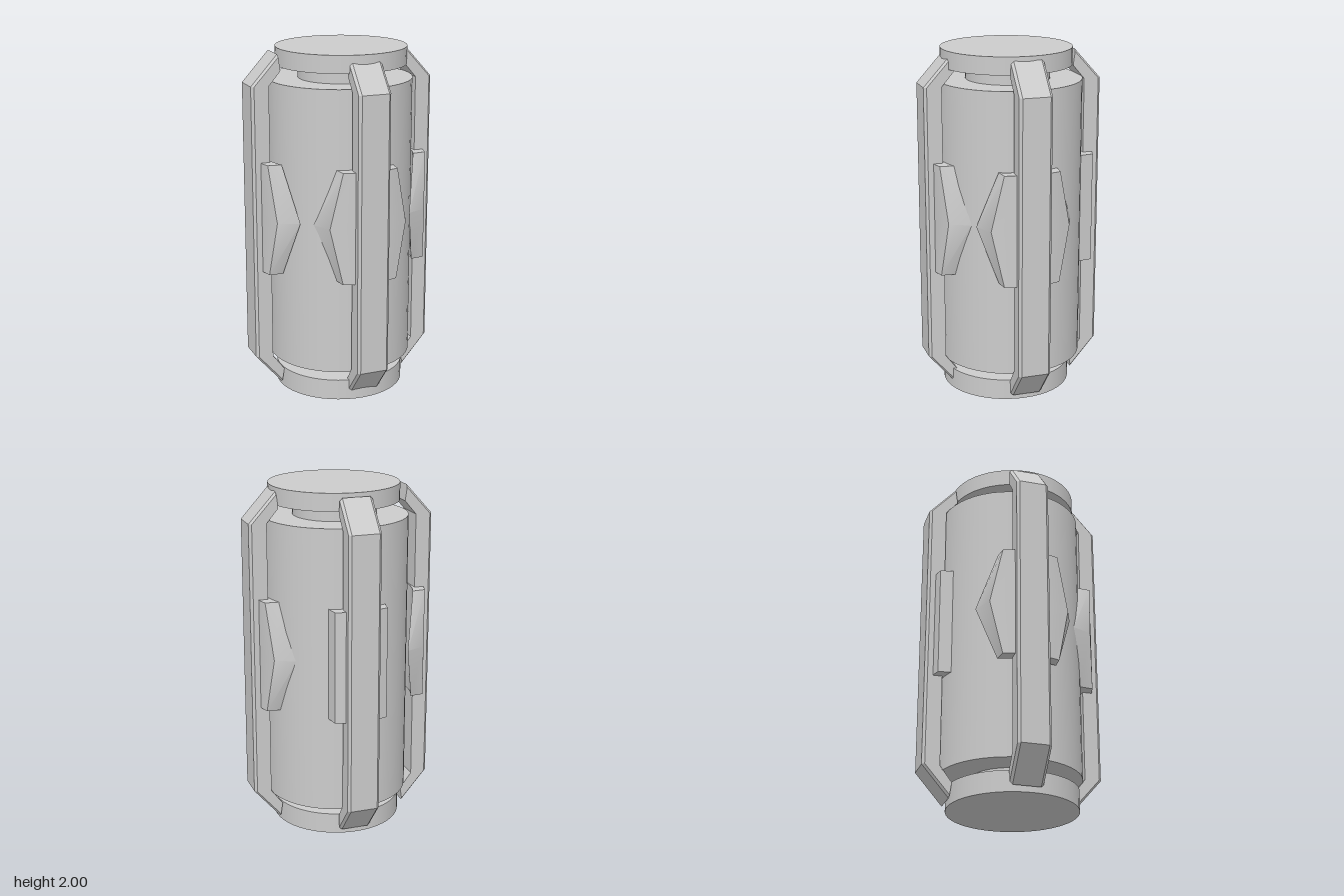
import * as THREE from 'three';
import { toCreasedNormals } from 'three/addons/utils/BufferGeometryUtils.js';

const material = new THREE.MeshStandardMaterial({ color: 0xcccccc });

// Skin over closed cross-sections listed bottom to top; point i faces point n-1-i.
function loft(sections, crease) {
  const pos = [];
  const quad = (a, b, c, d) => [a, b, c, a, c, d].forEach(p => pos.push(...p));
  const n = sections[0].length;
  for (let k = 0; k < sections.length - 1; k++) {
    const lo = sections[k], hi = sections[k + 1];
    for (let i = 0; i < n; i++) {
      const j = (i + 1) % n;
      quad(lo[i], lo[j], hi[j], hi[i]);
    }
  }
  const bottom = sections[0], top = sections[sections.length - 1];
  for (let i = 0; i < n / 2 - 1; i++) {
    quad(top[i], top[i + 1], top[n - 2 - i], top[n - 1 - i]);
    quad(bottom[n - 1 - i], bottom[n - 2 - i], bottom[i + 1], bottom[i]);
  }
  const geometry = new THREE.BufferGeometry();
  geometry.setAttribute('position', new THREE.Float32BufferAttribute(pos, 3));
  return toCreasedNormals(geometry, crease);
}

// Bar bent inward at both ends, outer corners chamfered. Rows: outer z, y, inner z, y.
function barGeometry() {
  const w = 0.094, c = 0.015;
  const stations = [
    [0.375, 0.03, 0.362, 0.115],
    [0.53, 0.21, 0.43, 0.205],
    [0.53, 1.805, 0.43, 1.805],
    [0.375, 1.977, 0.362, 1.885],
  ];
  return loft(stations.map(([zo, yo, zi, yi]) => {
    const t = c / Math.hypot(zo - zi, yo - yi);
    const zc = zo + (zi - zo) * t, yc = yo + (yi - yo) * t;
    return [[-w, yi, zi], [-w, yc, zc], [-w + c, yo, zo],
      [w - c, yo, zo], [w, yc, zc], [w, yi, zi]];
  }), 0.3);
}

// Curved plate; half angles in degrees at its ends and at mid height.
function plateGeometry(endOuter, endInner, midOuter, midInner) {
  const steps = 8, ro = 0.493, ri = 0.423;
  const section = (y, outer, inner) => {
    const points = [];
    const add = (r, deg) => {
      const a = THREE.MathUtils.degToRad(deg);
      points.push([r * Math.sin(a), y, r * Math.cos(a)]);
    };
    for (let i = 0; i <= steps; i++) add(ro, outer * (2 * i / steps - 1));
    for (let i = steps; i >= 0; i--) add(ri, inner * (2 * i / steps - 1));
    return points;
  };
  return loft([section(0.735, endOuter, endInner), section(1.055, midOuter, midInner),
    section(1.375, endOuter, endInner)], 0.5);
}

export function createModel() {
  const model = new THREE.Group();
  const add = (name, geometry, parent = model) => {
    const mesh = new THREE.Mesh(geometry, material);
    mesh.name = name;
    parent.add(mesh);
    return mesh;
  };

  // Stacked round core: name, radius, bottom, top, centre x and z
  const discs = [
    ['bottomCap', 0.373, 0, 0.12, 0, 0.014],
    ['bottomNeck', 0.24, 0.11, 0.19, 0.005, 0.005],
    ['body', 0.414, 0.18, 1.82, 0.01, -0.004],
    ['topNeck', 0.24, 1.81, 1.91, 0.01, 0.005],
    ['topCap', 0.373, 1.9, 2, 0.012, 0.014],
  ];
  for (const [name, r, y0, y1, x, z] of discs) {
    add(name, new THREE.CylinderGeometry(r, r, y1 - y0, 48)).position.set(x, (y0 + y1) / 2, z);
  }

  // Four guard bars, each with a plate behind it; the rear plate is straight-sided
  const bar = barGeometry();
  const pointedPlate = plateGeometry(19, 23.5, 27.5, 41);
  const straightPlate = plateGeometry(18, 23, 18, 23);
  const sides = [
    ['front', 0, 0.012, -0.015],
    ['left', Math.PI / 2, 0.005, 0.01],
    ['back', Math.PI, 0.015, 0.01],
    ['right', -Math.PI / 2, -0.008, -0.02],
  ];
  for (const [name, angle, x, z] of sides) {
    const side = new THREE.Group();
    side.name = name + 'Guard';
    side.position.set(x, 0, z);
    side.rotation.y = angle;
    add(name + 'Bar', bar, side);
    add(name + 'Plate', name === 'back' ? straightPlate : pointedPlate, side);
    model.add(side);
  }
  return model;
}
